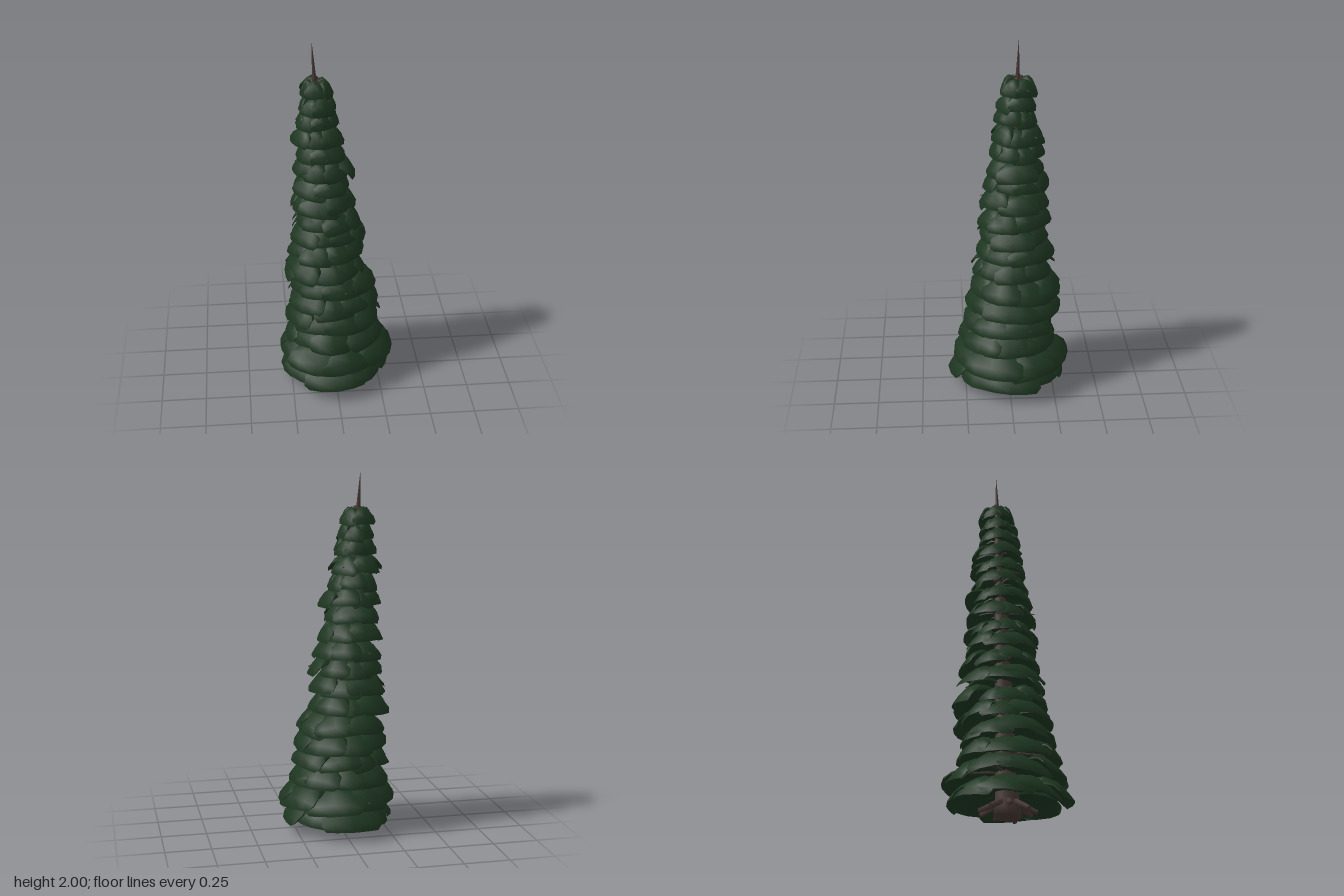
import * as THREE from 'three';
import { toCreasedNormals } from 'three/addons/utils/BufferGeometryUtils.js';

const needles = new THREE.MeshStandardMaterial({ color: 0x1d3520 });
needles.name = 'needleGreen';
const bark = new THREE.MeshStandardMaterial({ color: 0x463733 });
bark.name = 'barkBrown';

// seeded jitter in -1..1
let seed = 7;
const jitter = () => {
  seed = (seed * 16807) % 2147483647;
  return (seed / 2147483647) * 2 - 1;
};

// the trunk leans towards -x and -z
const trunkX = (y) => -0.054 * y;
const trunkZ = (y) => -0.031 * y;

// tiers: rim height, then reach to -x, +x, -z, +z
const TIERS = [
  [0.06, -0.30, 0.32, -0.32, 0.34], [0.16, -0.335, 0.335, -0.34, 0.33],
  [0.27, -0.30, 0.315, -0.29, 0.30], [0.38, -0.28, 0.27, -0.27, 0.27],
  [0.48, -0.25, 0.28, -0.29, 0.25], [0.58, -0.23, 0.24, -0.31, 0.23],
  [0.68, -0.30, 0.19, -0.25, 0.20], [0.79, -0.25, 0.17, -0.28, 0.20],
  [0.89, -0.24, 0.18, -0.24, 0.18], [0.98, -0.21, 0.17, -0.24, 0.17],
  [1.08, -0.24, 0.13, -0.23, 0.16], [1.18, -0.21, 0.09, -0.23, 0.16],
  [1.27, -0.22, 0.13, -0.20, 0.12], [1.36, -0.20, 0.07, -0.20, 0.11],
  [1.45, -0.22, 0.06, -0.20, 0.10], [1.55, -0.20, 0.045, -0.17, 0.08],
  [1.63, -0.18, 0.02, -0.16, 0.065], [1.71, -0.175, 0.005, -0.16, 0.04],
];

// bough from trunk to tip: reach, top, underside, half width, side droop
const PROFILE = [
  [0.08, 0.65, 0.5, 0.1, 0.08], [0.32, 0.95, 0.55, 0.24, 0.3],
  [0.55, 1.0, 0.46, 0.38, 0.42], [0.75, 0.78, 0.3, 0.46, 0.34],
  [0.9, 0.4, 0.12, 0.49, 0.2], [1.0, 0.06, 0, 0.42, 0.02],
];
const ACROSS = [-1, -0.6, 0, 0.6, 1];

// a drooping, domed bough: a closed lump with an angular tip, pointing along +x
function boughGeometry(reach, height, spread) {
  const pos = [], index = [], n = ACROSS.length, ring = n * 2;
  const skew = jitter() * 0.07, corner = 0.13 + 0.05 * jitter();
  PROFILE.forEach(([u, top, under, w, droop]) => {
    const add = (s, v) => {
      const edge = corner * s * s * u ** 4 + skew * s * u;
      pos.push(reach * (u - edge), height * v, s * w * spread * reach);
    };
    const upper = (s) => top - droop * s * s;
    ACROSS.forEach((s) => add(s, upper(s)));
    [...ACROSS].reverse().forEach((s) =>
      add(s, Math.min(THREE.MathUtils.lerp(under, upper(s) - 0.06, s * s), upper(s) - 0.05)));
  });
  for (let r = 0; r < PROFILE.length - 1; r++) {
    for (let i = 0; i < ring; i++) {
      const a = r * ring + i, b = r * ring + (i + 1) % ring;
      index.push(a, b, a + ring, b, b + ring, a + ring);
    }
  }
  // end caps
  const end = (PROFILE.length - 1) * ring;
  for (let i = 0; i < n - 1; i++) {
    const a = i, b = i + 1, c = ring - 2 - i, d = ring - 1 - i;
    index.push(a, d, b, b, d, c);
    index.push(end + a, end + b, end + d, end + b, end + c, end + d);
  }
  const g = new THREE.BufferGeometry();
  g.setAttribute('position', new THREE.Float32BufferAttribute(pos, 3));
  g.setIndex(index);
  return toCreasedNormals(g, 1.0);
}

// a tapered stick between two points
function stick(name, from, to, r0, r1) {
  const dir = to.clone().sub(from);
  const m = new THREE.Mesh(new THREE.CylinderGeometry(r1, r0, dir.length(), 6), bark);
  m.name = name;
  m.position.copy(from).addScaledVector(dir, 0.5);
  m.quaternion.setFromUnitVectors(new THREE.Vector3(0, 1, 0), dir.normalize());
  return m;
}

export function createModel() {
  const tree = new THREE.Group();
  tree.name = 'conifer';

  // trunk with a needle-thin leader, sheared to follow the lean
  const profile = [[0, 0], [0.078, 0], [0.066, 0.06], [0.055, 0.4], [0.04, 1.0],
    [0.022, 1.6], [0.013, 1.78], [0.006, 1.9], [0, 2.0]];
  const trunkGeo = new THREE.LatheGeometry(
    profile.map(([r, y]) => new THREE.Vector2(r, y)), 9);
  const p = trunkGeo.attributes.position;
  for (let i = 0; i < p.count; i++) {
    const y = p.getY(i);
    p.setX(i, p.getX(i) + trunkX(y));
    p.setZ(i, p.getZ(i) + trunkZ(y));
  }
  trunkGeo.computeVertexNormals();
  const trunk = new THREE.Mesh(trunkGeo, bark);
  trunk.name = 'trunk';
  tree.add(trunk);

  // short bare limbs at the foot
  for (let i = 0; i < 9; i++) {
    const a = (i / 9) * Math.PI * 2 + 0.2;
    const at = (r, y) => new THREE.Vector3(Math.cos(a) * r, y, Math.sin(a) * r);
    tree.add(stick('footLimb', at(0.03, 0.085), at(0.155, 0.024 + jitter() * 0.008), 0.02, 0.012));
  }

  // tiers of boughs, each carried by a branch
  TIERS.forEach(([y, x0, x1, z0, z1], t) => {
    const tier = new THREE.Group();
    tier.name = 'tier';
    const cx = trunkX(y + 0.08), cz = trunkZ(y + 0.08);
    tier.position.set(cx, y, cz);
    const count = t > 15 ? 6 : t > 9 ? 7 : 8;
    for (let i = 0; i < count; i++) {
      const a = ((i + (t % 2) * 0.5 + jitter() * 0.13) / count) * Math.PI * 2;
      const c = Math.cos(a), s = Math.sin(a);
      const rx = c > 0 ? x1 - cx : cx - x0, rz = s > 0 ? z1 - cz : cz - z0;
      const reach = (0.97 + 0.07 * jitter()) / Math.hypot(c / rx, s / rz);
      const height = 0.07 + 0.2 * reach;
      const spread = (1 + 0.12 * jitter()) * (8 / count) ** 0.7;
      const bough = new THREE.Mesh(boughGeometry(reach, height, spread), needles);
      bough.name = 'bough';
      bough.rotation.set(0.12 * jitter(), -a, 0, 'YXZ');
      bough.position.y = 0.012 * jitter();
      tier.add(bough);
      // branch inside the bough; a few poke out as twigs
      const twig = (i + t * 3) % 8 === 0;
      const long = twig ? 0.97 : 0.6;
      tier.add(stick('branch',
        new THREE.Vector3(0, height * 0.6, 0),
        new THREE.Vector3(c * reach * long, height * (twig ? 0.32 : 0.65), s * reach * long),
        0.009, 0.003));
    }
    tree.add(tier);
  });

  // stubs around the base of the leader
  for (let i = 0; i < 7; i++) {
    const a = (i / 7) * Math.PI * 2 + 0.3;
    tree.add(stick('leaderStub',
      new THREE.Vector3(trunkX(1.77), 1.77, trunkZ(1.77)),
      new THREE.Vector3(trunkX(1.77) + Math.cos(a) * 0.038, 1.796, trunkZ(1.77) + Math.sin(a) * 0.038),
      0.006, 0.004));
  }
  return tree;
}
